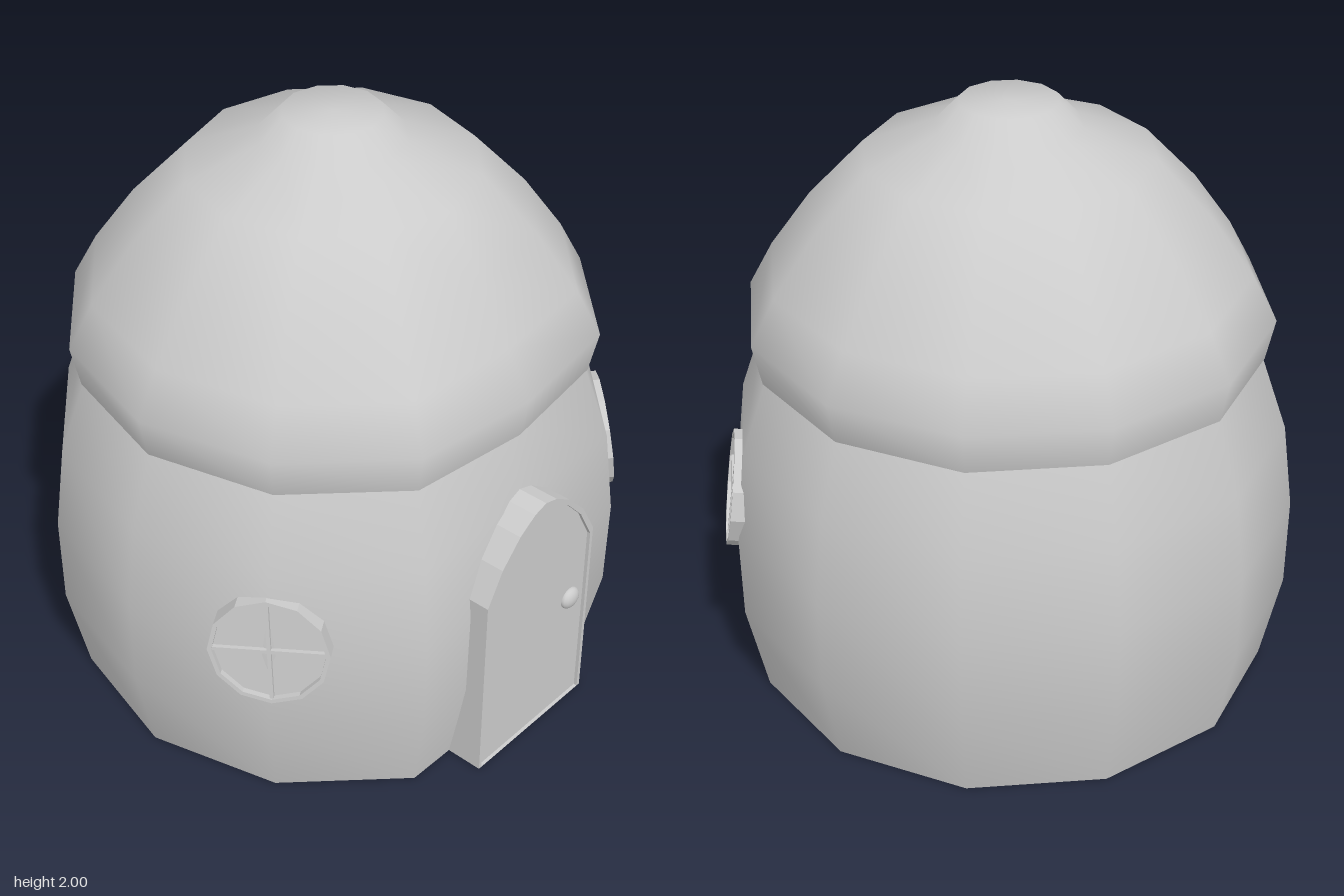
import * as THREE from 'three';

const SIDES = 12;
const grey = new THREE.MeshStandardMaterial({ color: 0xcccccc, side: THREE.DoubleSide });

function add(parent, name, geometry, x = 0, y = 0, z = 0) {
  const mesh = new THREE.Mesh(geometry, grey);
  mesh.name = name;
  mesh.position.set(x, y, z);
  parent.add(mesh);
  return mesh;
}

// Smooth twelve-sided shell; rows are [height, radius, depth factor of the flattened front corner]
function shell(rows) {
  const positions = [], index = [];
  rows.forEach(([y, r, front], j) => {
    for (let i = 0; i < SIDES; i++) {
      const a = (i / SIDES) * Math.PI * 2;
      positions.push(r * Math.sin(a), y, 0.02 + r * Math.cos(a) * (i === 0 ? front : 1));
      if (j === rows.length - 1) continue;
      const p = j * SIDES + i, q = j * SIDES + ((i + 1) % SIDES);
      index.push(p, q, p + SIDES, q, q + SIDES, p + SIDES);
    }
  });
  const g = new THREE.BufferGeometry();
  g.setAttribute('position', new THREE.Float32BufferAttribute(positions, 3));
  g.setIndex(index);
  g.computeVertexNormals();
  return g;
}

// Arched door outline with a half width w and a height h
function arch(w, h) {
  const side = [[w, 0], [w, h - 0.26], [w * 0.76, h - 0.145], [w * 0.46, h - 0.06], [w * 0.2, h - 0.015]];
  const mirrored = side.map(([x, y]) => [-x, y]).reverse();
  return [...side, [0, h], ...mirrored].map(([x, y]) => new THREE.Vector2(x, y));
}

function extrude(points, depth, hole) {
  const shape = new THREE.Shape(points);
  if (hole) shape.holes.push(new THREE.Path(hole));
  return new THREE.ExtrudeGeometry(shape, { depth, bevelEnabled: false });
}

function circle(r) {
  return Array.from({ length: SIDES }, (_, i) => {
    const a = (i / SIDES) * Math.PI * 2;
    return new THREE.Vector2(r * Math.cos(a), r * Math.sin(a));
  });
}

// Round window facing +z, its rim ending at z = 0
function makeWindow(name) {
  const g = new THREE.Group();
  g.name = name;
  add(g, 'windowRim', extrude(circle(0.192), 0.075, circle(0.178)), 0, 0, -0.075);
  add(g, 'windowPane', extrude(circle(0.18), 0.05), 0, 0, -0.07);
  add(g, 'uprightBar', new THREE.BoxGeometry(0.012, 0.36, 0.015), 0, 0, -0.013);
  add(g, 'crossBar', new THREE.BoxGeometry(0.36, 0.012, 0.015), 0, 0, -0.013);
  return g;
}

export function createModel() {
  const house = new THREE.Group();
  house.name = 'roundHouse';

  // Barrel-shaped wall, open underneath
  add(house, 'wall', shell([
    [0, 0.872, 0.875], [0.31, 0.94, 0.87], [0.62, 0.945, 0.87], [0.91, 0.91, 0.87], [1.16, 0.825, 0.875],
  ]));

  // Domed roof with a small knob on top, and the eave closing its lower edge
  add(house, 'roof', shell([
    [1.16, 0.83, 0.93], [1.3, 0.86, 0.93], [1.45, 0.78, 0.91], [1.64, 0.645, 0.94],
    [1.83, 0.467, 1], [1.92, 0.235, 1], [2, 0.16, 1], [2, 0, 1],
  ]));
  add(house, 'eave', shell([[1.16, 0.82, 0.87], [1.16, 0.83, 0.93]]));

  // Arched door in a thin frame
  const door = new THREE.Group();
  door.name = 'door';
  door.position.x = 0.006;
  add(door, 'doorFrame', extrude(arch(0.27, 0.95), 0.145, arch(0.257, 0.932)), 0, 0, 0.76);
  add(door, 'doorPanel', extrude(arch(0.26, 0.935), 0.125), 0, 0, 0.768);
  const knob = add(door, 'doorKnob', new THREE.SphereGeometry(1, 16, 12), 0.183, 0.44, 0.895);
  knob.scale.set(0.042, 0.038, 0.024);
  house.add(door);

  // Two windows: position, then pitch, turn and roll in degrees
  const windows = [
    ['leftWindow', [0.72, 0.705, 0.62], [-8, 46, -3.5]],
    ['rightWindow', [-0.825, 0.645, 0.505], [-5, -57, 3]],
  ];
  for (const [name, position, angles] of windows) {
    const w = makeWindow(name);
    w.position.set(...position);
    w.rotation.set(...angles.map(THREE.MathUtils.degToRad), 'YXZ');
    house.add(w);
  }
  return house;
}
